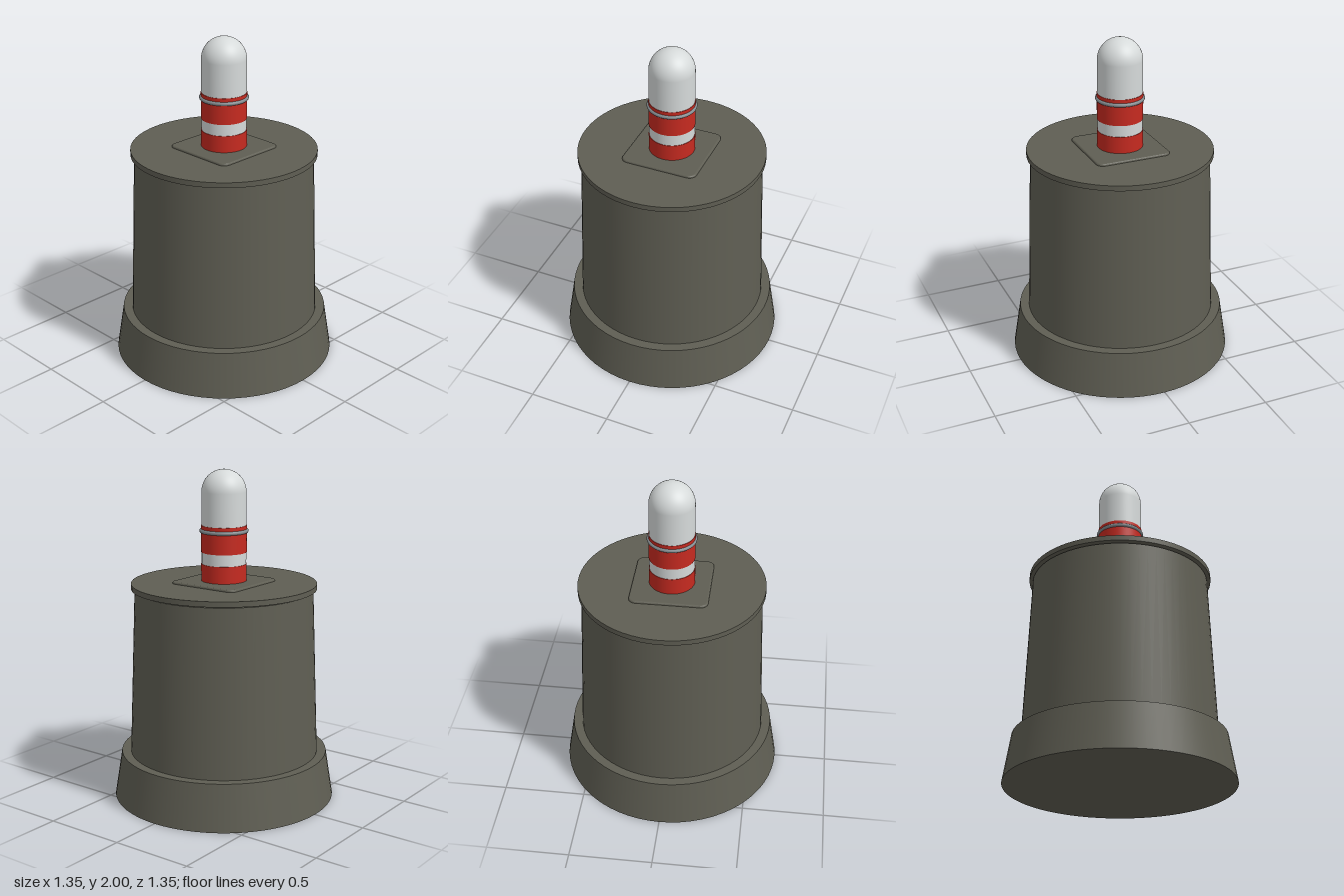
import * as THREE from 'three';

const material = (name, color) => {
  const m = new THREE.MeshStandardMaterial({ color });
  m.name = name;
  return m;
};

export function createModel() {
  const olive = material('olive grey', 0x5f5e53);
  const white = material('white', 0xd6dada);
  const red = material('red', 0xc62a20);
  const steel = material('steel grey', 0x868d91);

  const group = new THREE.Group();
  const add = (name, geometry, mat) => {
    const mesh = new THREE.Mesh(geometry, mat);
    mesh.name = name;
    group.add(mesh);
    return mesh;
  };

  // Upright tapered cylinder between two heights
  const drum = (name, y0, y1, r0, r1, mat) => {
    const mesh = add(name, new THREE.CylinderGeometry(r1, r0, y1 - y0, 64), mat);
    mesh.position.y = (y0 + y1) / 2;
  };

  // Heavy body: flared foot, tapered column and overhanging lid
  drum('foot', 0, 0.28, 0.675, 0.63, olive);
  drum('column', 0.28, 1.285, 0.575, 0.536, olive);
  drum('lid', 1.293, 1.325, 0.557, 0.557, olive);

  // Rounded square mounting plate with a softened rim
  const h = 0.222, r = 0.035;
  const shape = new THREE.Shape();
  shape.absarc(h - r, h - r, r, 0, Math.PI / 2);
  shape.absarc(r - h, h - r, r, Math.PI / 2, Math.PI);
  shape.absarc(r - h, r - h, r, Math.PI, Math.PI * 1.5);
  shape.absarc(h - r, r - h, r, Math.PI * 1.5, Math.PI * 2);
  const plate = new THREE.ExtrudeGeometry(shape, {
    depth: 0.005, bevelThickness: 0.01, bevelSize: 0.01, bevelSegments: 3, curveSegments: 8,
  });
  plate.rotateX(-Math.PI / 2);
  add('mountingPlate', plate, olive).position.y = 1.323;

  // Banded post
  drum('lowerRedBand', 1.285, 1.44, 0.136, 0.136, red);
  drum('whiteBand', 1.44, 1.51, 0.133, 0.133, white);
  drum('upperRedBand', 1.51, 1.67, 0.136, 0.136, red);

  // Domed tip
  const profile = [new THREE.Vector2(0.133, 1.67)];
  for (let i = 0; i <= 16; i++) {
    const a = (i / 16) * Math.PI / 2;
    profile.push(new THREE.Vector2(0.133 * Math.cos(a), 1.867 + 0.133 * Math.sin(a)));
  }
  add('domedTip', new THREE.LatheGeometry(profile, 64), white);

  // Metal collar
  const collar = new THREE.TorusGeometry(0.134, 0.012, 12, 64);
  collar.rotateX(Math.PI / 2);
  add('collar', collar, steel).position.y = 1.637;

  return group;
}
